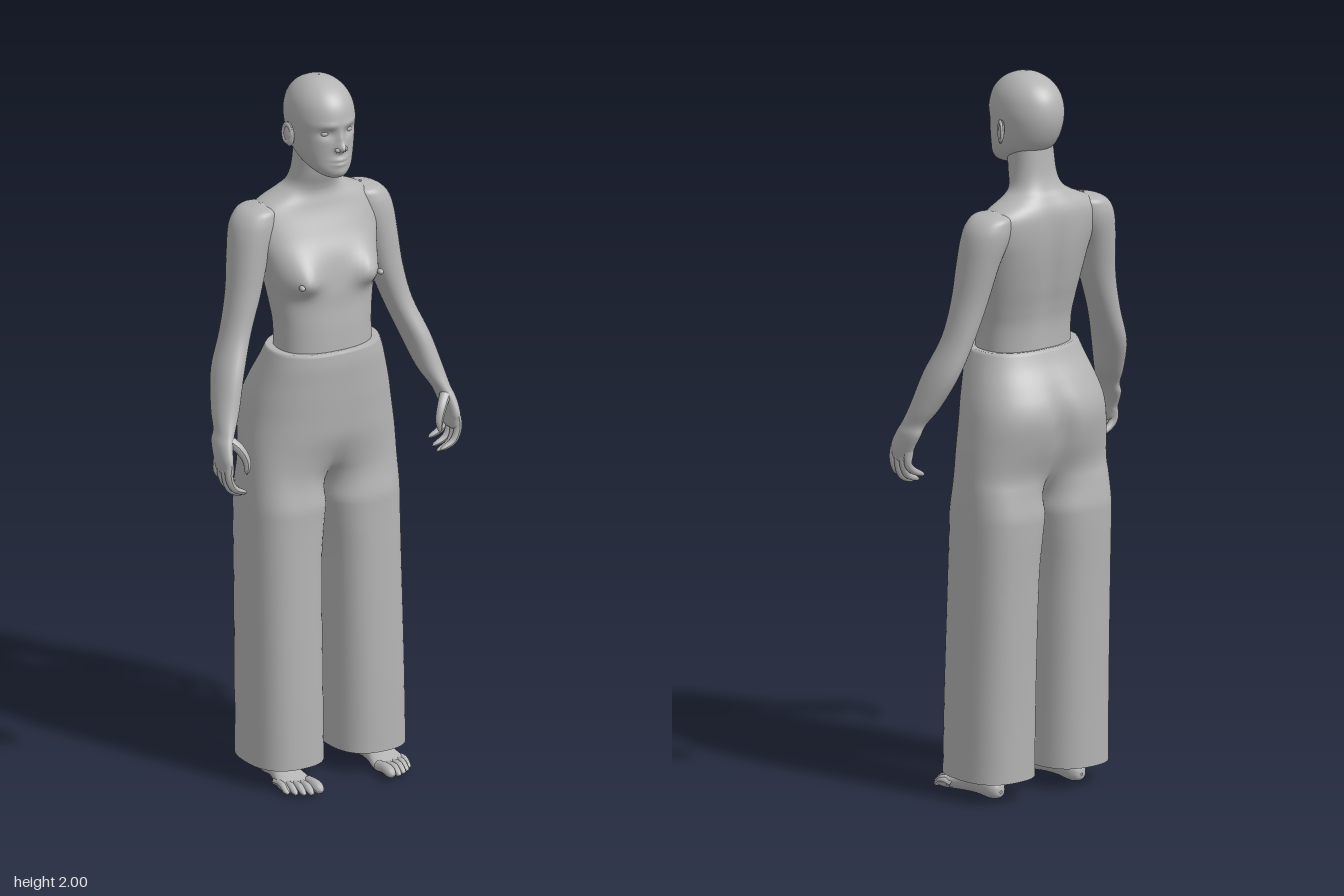
import * as THREE from 'three';
import { mergeVertices } from 'three/addons/utils/BufferGeometryUtils.js';

const grey = new THREE.MeshStandardMaterial({ color: 0xb4b4b4, side: THREE.DoubleSide });
grey.name = 'plain grey';

// Smooth Catmull-Rom resampling of rows of numbers
function smoothRows(rows, sub) {
  const out = [], last = rows.length - 1;
  for (let i = 0; i < last; i++) {
    const [a, b, c, d] = [-1, 0, 1, 2].map(k => rows[Math.min(last, Math.max(0, i + k))]);
    for (let s = 0; s < sub; s++) {
      const t = s / sub;
      out.push(b.map((_, k) => 0.5 * (2 * b[k] + (c[k] - a[k]) * t
        + (2 * a[k] - 5 * b[k] + 4 * c[k] - d[k]) * t * t
        + (3 * b[k] - a[k] - 3 * c[k] + d[k]) * t * t * t)));
    }
  }
  out.push(rows[last]);
  return out;
}

const power = (v, n) => Math.sign(v) * Math.pow(Math.abs(v), 2 / n);
const gauss = (d, s) => Math.exp(-(d * d) / (s * s));

// Skin between equal point rings; wrap closes each ring
function skin(rings, wrap) {
  const n = rings[0].length, idx = [];
  for (let i = 0; i < rings.length - 1; i++) {
    for (let j = 0; j < (wrap ? n : n - 1); j++) {
      const a = i * n + j, b = i * n + (j + 1) % n;
      idx.push(a, b, b + n, a, b + n, a + n);
    }
  }
  const g = new THREE.BufferGeometry();
  g.setAttribute('position', new THREE.Float32BufferAttribute(rings.flat(2), 3));
  g.setIndex(idx);
  g.computeVertexNormals();
  return g;
}

// Stacked rings, bottom to top; row = [y, centre x, half width, front z, back z]
function loft(rows, { seg = 32, sub = 5, n = 2, deform = p => p } = {}) {
  return skin(smoothRows(rows, sub).map(([y, cx, rx, zf, zb]) =>
    Array.from({ length: seg }, (_, j) => {
      const a = (j / seg) * Math.PI * 2;
      return deform([cx + rx * power(Math.sin(a), n), y,
        (zf + zb) / 2 + (zf - zb) / 2 * power(Math.cos(a), n)], Math.cos(a));
    })), true);
}

// Tapered digit with a rounded tip
function digit(points, r0, r1) {
  const curve = new THREE.CatmullRomCurve3(points.map(p => new THREE.Vector3(...p)));
  const len = 16, rad = 10, g = new THREE.TubeGeometry(curve, len, r0, rad);
  const pos = g.attributes.position, v = new THREE.Vector3();
  for (let i = 0; i <= len; i++) {
    const u = i / len, c = curve.getPointAt(u);
    const k = (1 + (r1 / r0 - 1) * u) * Math.sqrt(Math.max(0, 1 - Math.pow(u, 7)));
    for (let j = 0; j <= rad; j++) {
      const q = i * (rad + 1) + j;
      v.fromBufferAttribute(pos, q).sub(c).multiplyScalar(k).add(c);
      pos.setXYZ(q, v.x, v.y, v.z);
    }
  }
  g.computeVertexNormals();
  return g;
}

function ellipsoid(x, y, z, rx, ry, rz) {
  return new THREE.SphereGeometry(1, 20, 14).scale(rx, ry, rz).translate(x, y, z);
}

function mirrored(g) {
  const m = g.clone(), p = m.attributes.position, ix = m.index.array;
  for (let i = 0; i < p.count; i++) p.setX(i, -p.getX(i));
  for (let i = 0; i < ix.length; i += 3) [ix[i], ix[i + 1]] = [ix[i + 1], ix[i]];
  m.computeVertexNormals();
  return m;
}

// Wide trousers: half outlines at the hips close into separate legs below the crotch
function trousersGeometry() {
  // y, outer x, inner x, front z, back z, leg closure
  const rows = smoothRows([
    [0.06, 0.235, 0.02, 0.115, -0.14, 1], [0.3, 0.233, 0.02, 0.11, -0.145, 1],
    [0.6, 0.23, 0.018, 0.1, -0.155, 1], [0.72, 0.23, 0.008, 0.096, -0.16, 1],
    [0.79, 0.23, 0, 0.095, -0.162, 1], [0.86, 0.228, 0, 0.096, -0.164, 0.55],
    [0.91, 0.226, 0, 0.098, -0.163, 0.25], [0.98, 0.222, 0, 0.102, -0.176, 0.04],
    [1.05, 0.213, 0, 0.105, -0.187, 0], [1.1, 0.204, 0, 0.108, -0.18, 0],
    [1.15, 0.19, 0, 0.11, -0.157, 0], [1.2, 0.174, 0, 0.112, -0.128, 0],
    [1.237, 0.161, 0, 0.11, -0.112, 0]], 5);
  rows.push([1.243, 0.157, 0, 0.106, -0.108, 0], [1.24, 0.13, 0, 0.085, -0.09, 0]);
  const seg = 44;
  const rings = rows.map(([y, w, inn, zf, zb, close]) => {
    const b = Math.min(1, Math.max(0, close)), zc = (zf + zb) / 2, rz = (zf - zb) / 2;
    const seat = gauss(y - 1.02, 0.1);
    return Array.from({ length: seg + 1 }, (_, j) => {
      const t = j / seg, h = t * Math.PI, a = 2 * h;
      const hx = w * power(Math.sin(h), 2.4), hz = zc + rz * power(Math.cos(h), 2.4);
      const x0 = Math.max(0, inn), rx = (w - x0) / 2;
      const lx = x0 + rx - rx * power(Math.cos(a), 2.5), lz = zc + rz * power(Math.sin(a), 2.5);
      const x = j % seg ? hx + (lx - hx) * b : x0 * b;
      let z = hz + (lz - hz) * b;
      if (t > 0.5) z += seat * 0.024 * gauss(x, 0.03) * (1 - b);
      return [x, y, z];
    });
  });
  const left = skin(rings, false), right = mirrored(left), n = left.attributes.position.count;
  const g = new THREE.BufferGeometry();
  g.setAttribute('position', new THREE.Float32BufferAttribute(
    [...left.attributes.position.array, ...right.attributes.position.array], 3));
  g.setIndex([...left.index.array, ...Array.from(right.index.array, i => i + n)]);
  const merged = mergeVertices(g, 1e-5);
  merged.computeVertexNormals();
  return merged;
}

export function createModel() {
  const model = new THREE.Group();
  model.name = 'figure';
  const add = (name, g) => {
    const m = new THREE.Mesh(g, grey);
    m.name = name;
    model.add(m);
  };
  const pair = (name, g) => {
    add('left' + name, g);
    add('right' + name, mirrored(g));
  };

  // Torso and neck
  add('torso', loft([
    [1.2, 0, 0.138, 0.1, -0.1], [1.3, 0, 0.139, 0.094, -0.1], [1.36, 0, 0.147, 0.088, -0.11],
    [1.42, 0, 0.157, 0.085, -0.125], [1.5, 0, 0.173, 0.07, -0.14], [1.56, 0, 0.188, 0.042, -0.146],
    [1.61, 0, 0.188, 0.018, -0.146], [1.64, 0, 0.16, 0.007, -0.14], [1.667, 0, 0.105, 0, -0.126],
    [1.69, 0, 0.075, 0.004, -0.112], [1.73, 0, 0.064, 0.018, -0.1], [1.8, 0, 0.06, 0.03, -0.092],
  ], { seg: 64, sub: 6, n: 2.3, deform: ([x, y, z], f) => {
    if (f > 0) z += 0.042 * gauss(Math.abs(x) - 0.103, 0.046) * gauss(y - 1.445, y < 1.445 ? 0.035 : 0.055);
    else z += 0.013 * gauss(x, 0.03) * gauss(y - 1.46, 0.18);
    return [x, y, z];
  } }));
  pair('Nipple', ellipsoid(0.122, 1.445, 0.1, 0.008, 0.008, 0.011));

  // Head with a modelled face
  const face = [ // x, y, push, width, height
    [0, 1.827, 0.021, 0.013, 0.013], [0, 1.85, 0.012, 0.01, 0.024], [0.034, 1.868, -0.011, 0.02, 0.014],
    [0.03, 1.892, 0.004, 0.025, 0.009], [0, 1.787, 0.011, 0.024, 0.014], [0, 1.786, -0.006, 0.022, 0.004],
    [0, 1.756, 0.004, 0.02, 0.012]];
  add('head', loft([
    [1.735, 0, 0.008, 0.075, 0.05], [1.742, 0, 0.034, 0.092, 0.01], [1.762, 0, 0.057, 0.098, -0.04],
    [1.79, 0, 0.073, 0.095, -0.086], [1.82, 0, 0.081, 0.095, -0.112], [1.86, 0, 0.086, 0.096, -0.129],
    [1.9, 0, 0.088, 0.098, -0.133], [1.94, 0, 0.08, 0.087, -0.123], [1.97, 0, 0.062, 0.062, -0.099],
    [1.99, 0, 0.036, 0.026, -0.062], [2, 0, 0.002, -0.016, -0.02],
  ], { seg: 96, sub: 8, n: 2.1, deform: ([x, y, z], f) => {
    if (f > 0) for (const [fx, fy, k, sx, sy] of face) z += k * gauss(Math.abs(x) - fx, sx) * gauss(y - fy, sy);
    return [x, y, z];
  } }));
  pair('Eye', ellipsoid(0.034, 1.867, 0.069, 0.015, 0.01, 0.012));
  pair('Nostril', ellipsoid(0.011, 1.823, 0.1, 0.008, 0.007, 0.009));
  pair('Ear', ellipsoid(0, 0, 0, 0.007, 0.034, 0.018).rotateY(-0.4).rotateX(-0.15).translate(0.092, 1.845, -0.022));
  pair('EarRim', new THREE.TorusGeometry(0.014, 0.004, 8, 20).scale(1, 1.8, 1)
    .rotateY(Math.PI / 2 - 0.4).translate(0.097, 1.848, -0.024));

  // Arms down to the palms
  pair('Arm', loft([
    [0.945, 0.35, 0.006, 0.105, 0.055], [0.955, 0.352, 0.014, 0.12, 0.042], [0.99, 0.354, 0.018, 0.12, 0.033],
    [1.03, 0.348, 0.021, 0.104, 0.014], [1.06, 0.336, 0.024, 0.09, 0.008], [1.11, 0.318, 0.034, 0.072, -0.025],
    [1.2, 0.291, 0.038, 0.05, -0.07], [1.3, 0.252, 0.039, 0.017, -0.087], [1.4, 0.222, 0.046, 0.008, -0.1],
    [1.5, 0.202, 0.054, 0.006, -0.119], [1.57, 0.183, 0.064, 0.004, -0.132], [1.61, 0.172, 0.06, -0.002, -0.132],
    [1.634, 0.162, 0.042, -0.015, -0.12], [1.645, 0.155, 0.004, -0.06, -0.07],
  ], { seg: 32, sub: 5, n: 2.1 }));

  // Curled fingers and thumbs
  [[0.047, 0.905], [0.068, 0.888], [0.09, 0.88], [0.11, 0.89]].forEach(([z, tip], i) =>
    pair('Finger' + (i + 1), digit([[0.354, 0.985, z], [0.357, 0.95, z + 0.002], [0.342, tip + 0.025, z + 0.003],
      [0.3, tip + 0.004, z + 0.002]], 0.0125, 0.009)));
  pair('Thumb', digit([[0.342, 1.045, 0.075], [0.314, 1.015, 0.1], [0.3, 0.98, 0.11], [0.302, 0.945, 0.112]], 0.017, 0.009));

  add('trousers', trousersGeometry());

  // Lower legs, feet and toes
  pair('LowerLeg', loft([
    [0.03, 0.14, 0.026, 0.01, -0.066], [0.07, 0.139, 0.031, 0.012, -0.068],
    [0.13, 0.135, 0.032, 0.012, -0.066], [0.32, 0.13, 0.05, 0.03, -0.085], [0.5, 0.125, 0.05, 0.035, -0.07]], { seg: 24 }));
  pair('Foot', loft([ // lengthwise rings laid along z
    [-0.08, 0.14, 0.003, -0.02, -0.026], [-0.074, 0.14, 0.018, -0.006, -0.045], [-0.05, 0.14, 0.03, 0, -0.06],
    [0, 0.142, 0.032, -0.003, -0.07], [0.05, 0.146, 0.04, -0.003, -0.056], [0.1, 0.147, 0.05, 0, -0.038],
    [0.13, 0.146, 0.046, -0.003, -0.027], [0.142, 0.142, 0.025, -0.01, -0.018]], { seg: 28, n: 2.3 }).rotateX(Math.PI / 2));
  [[0.112, 0.187, 0.0155], [0.136, 0.182, 0.0105], [0.155, 0.173, 0.01], [0.173, 0.16, 0.0095], [0.19, 0.143, 0.009]]
    .forEach(([x, z, r], i) => pair('Toe' + (i + 1), digit([[x - 0.002, 0.02, z - 0.075], [x, 0.024, z - 0.035],
      [x, r + 0.003, z - 0.012], [x, r, z]], r, r * 1.05)));

  return model;
}
